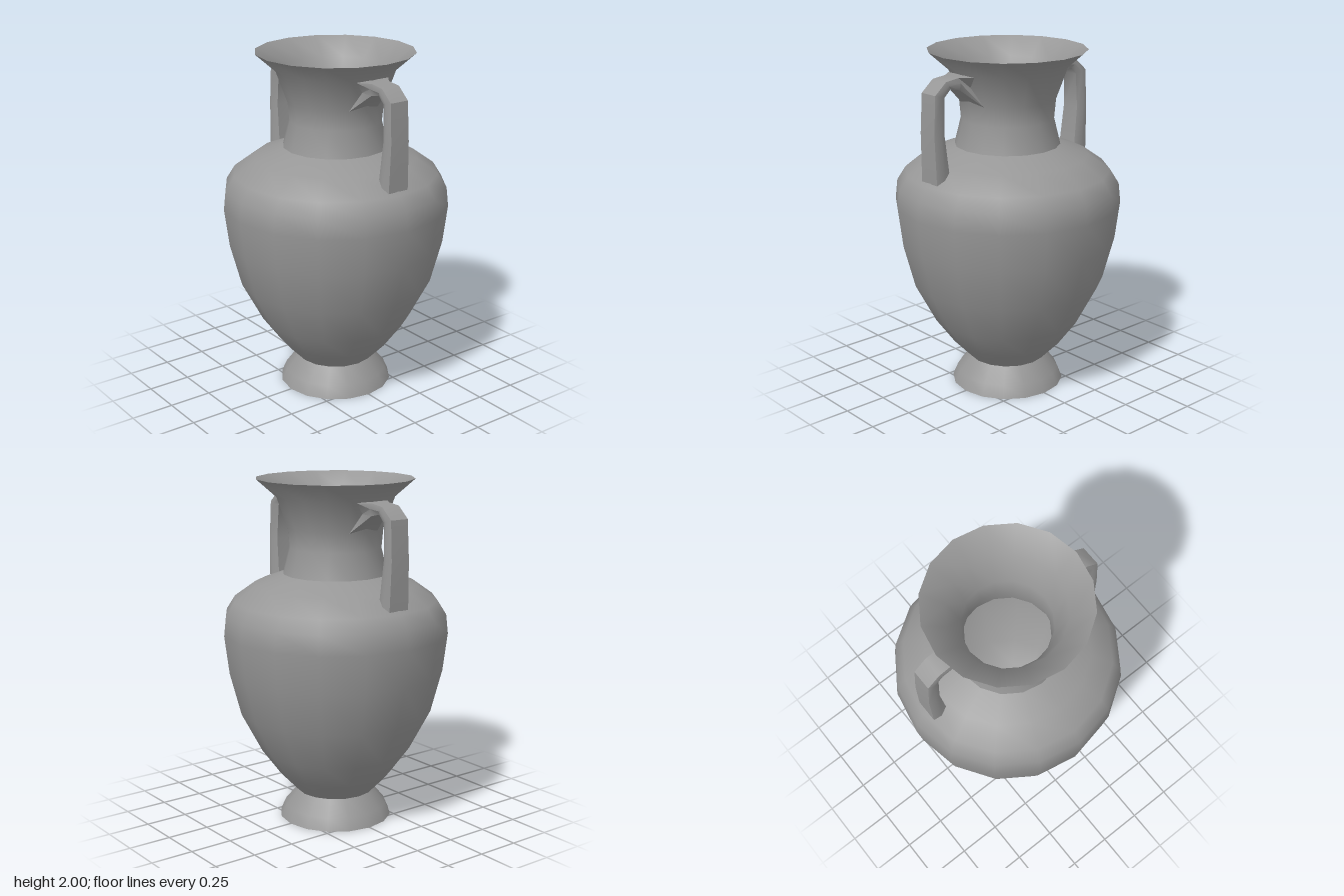
import * as THREE from 'three';
import { toCreasedNormals } from 'three/addons/utils/BufferGeometryUtils.js';

const SIDES = 16;
const clay = new THREE.MeshStandardMaterial({ color: 0x979797 });

// Turned part from [radius, height] pairs; rising profiles face outward, falling ones inward.
function turned(name, profile) {
  const points = profile.map(([r, y]) => new THREE.Vector2(r, y));
  const mesh = new THREE.Mesh(new THREE.LatheGeometry(points, SIDES), clay);
  mesh.name = name;
  return mesh;
}

// Handle stations from shoulder to neck:
// [outer x, y, half width, middle x, y, half width, inner x, y, half width]
const STATIONS = [
  [0.565, 1.325, 0.066, 0.52, 1.35, 0.078, 0.475, 1.375, 0.062],
  [0.572, 1.60, 0.06, 0.535, 1.60, 0.07, 0.5, 1.60, 0.055],
  [0.56, 1.82, 0.058, 0.525, 1.81, 0.065, 0.49, 1.80, 0.05],
  [0.485, 1.885, 0.058, 0.47, 1.86, 0.065, 0.45, 1.84, 0.05],
  [0.40, 1.895, 0.058, 0.39, 1.865, 0.064, 0.385, 1.825, 0.05],
  [0.333, 1.895, 0.11, 0.315, 1.83, 0.055, 0.257, 1.72, 0.1],
];

// Six-sided strap lofted through the stations, with flared prongs at the neck.
function handleGeometry() {
  const position = [];
  const index = [];
  for (const [ox, oy, ow, mx, my, mw, ix, iy, iw] of STATIONS) {
    position.push(ox, oy, ow, ox, oy, -ow, mx, my, -mw, ix, iy, -iw, ix, iy, iw, mx, my, mw);
  }
  for (let s = 0; s < STATIONS.length - 1; s++) {
    for (let k = 0; k < 6; k++) {
      const a = s * 6 + k;
      const b = s * 6 + (k + 1) % 6;
      index.push(a, b, b + 6, a, b + 6, a + 6);
    }
  }
  // End caps
  const end = (STATIONS.length - 1) * 6;
  for (const [i, j, k] of [[0, 5, 1], [1, 5, 2], [5, 4, 2], [2, 4, 3]]) {
    index.push(i, j, k, end + i, end + k, end + j);
  }
  const geometry = new THREE.BufferGeometry();
  geometry.setAttribute('position', new THREE.Float32BufferAttribute(position, 3));
  geometry.setIndex(index);
  return toCreasedNormals(geometry, 0.75);
}

export function createModel() {
  const group = new THREE.Group();
  group.name = 'amphora';

  // Outer surfaces, split where the profile has a sharp edge
  group.add(
    turned('footBase', [[0, 0], [0.33, 0]]),
    turned('foot', [[0.33, 0], [0.3, 0.07], [0.225, 0.16]]),
    turned('body', [
      [0.225, 0.16], [0.33, 0.27], [0.44, 0.42], [0.56, 0.65], [0.625, 0.9],
      [0.652, 1.12], [0.64, 1.23], [0.59, 1.31], [0.465, 1.4], [0.302, 1.46],
    ]),
    turned('neck', [[0.302, 1.46], [0.265, 1.61], [0.275, 1.72], [0.34, 1.9], [0.453, 2]]),
  );

  // Hollow inside
  group.add(
    turned('neckInside', [[0.453, 2], [0.32, 1.9], [0.25, 1.72], [0.236, 1.61], [0.272, 1.45]]),
    turned('bodyInside', [
      [0.272, 1.45], [0.45, 1.385], [0.57, 1.3], [0.62, 1.22], [0.63, 1.12], [0.605, 0.9],
      [0.54, 0.66], [0.42, 0.43], [0.31, 0.29], [0.105, 0.12],
    ]),
    turned('insideFloor', [[0.105, 0.12], [0, 0.12]]),
  );

  // Handles on both sides
  const geometry = handleGeometry();
  for (const [name, turn] of [['leftHandle', 0], ['rightHandle', Math.PI]]) {
    const handle = new THREE.Mesh(geometry, clay);
    handle.name = name;
    handle.rotation.y = turn;
    group.add(handle);
  }
  return group;
}
